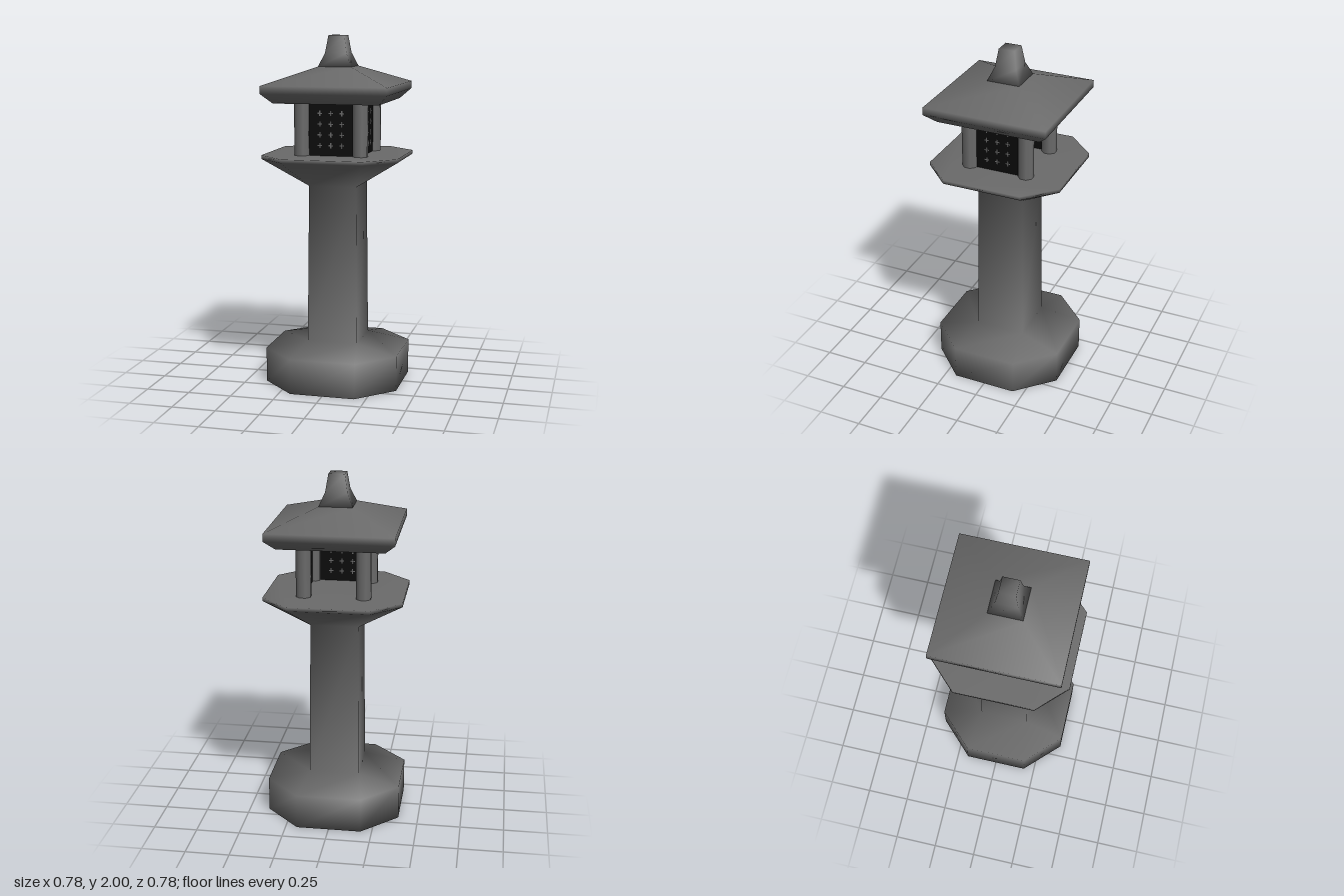
import * as THREE from 'three';
import { mergeVertices } from 'three/addons/utils/BufferGeometryUtils.js';

const stone = new THREE.MeshStandardMaterial({ color: 0x6a6a6a });
stone.name = 'grey stone';
const dark = new THREE.MeshStandardMaterial({ color: 0x0b0b0b });
dark.name = 'dark screen';

// Closed loft through chamfered squares [y, half width, chamfer start]; a missing chamfer means a plain square.
function loft(rings) {
  const pos = [], idx = [];
  for (const [y, h, c = h] of rings) {
    const ring = [[h, c], [h, -c], [c, -h], [-c, -h], [-h, -c], [-h, c], [-c, h], [c, h]];
    for (const [x, z] of ring) pos.push(x, y, z);
  }
  for (let r = 0; r < rings.length - 1; r++) {
    for (let i = 0; i < 8; i++) {
      const a = r * 8 + i, b = r * 8 + (i + 1) % 8;
      idx.push(a, b, b + 8, a, b + 8, a + 8);
    }
  }
  const top = (rings.length - 1) * 8;
  for (let i = 1; i < 7; i++) {
    idx.push(0, i + 1, i);
    idx.push(top, top + i, top + i + 1);
  }
  let g = new THREE.BufferGeometry();
  g.setAttribute('position', new THREE.Float32BufferAttribute(pos, 3));
  g.setIndex(idx);
  g = mergeVertices(g, 1e-4);
  g.computeVertexNormals();
  return g;
}

function add(parent, name, geometry, material) {
  const mesh = new THREE.Mesh(geometry, material);
  mesh.name = name;
  parent.add(mesh);
  return mesh;
}

// Dark window screen with a raised cross at each lattice joint, on both faces
function makeScreen(name) {
  const screen = new THREE.Group();
  screen.name = name;
  add(screen, 'screenPanel', new THREE.BoxGeometry(0.25, 0.3, 0.008), dark);
  const across = new THREE.BoxGeometry(0.026, 0.006, 0.011);
  const upright = new THREE.BoxGeometry(0.006, 0.03, 0.011);
  for (const x of [-0.063, 0, 0.063]) {
    for (const y of [-0.09, -0.03, 0.03, 0.09]) {
      add(screen, 'latticeJoint', across, stone).position.set(x, y, 0);
      add(screen, 'latticeJoint', upright, stone).position.set(x, y, 0);
    }
  }
  return screen;
}

export function createModel() {
  const lantern = new THREE.Group();
  lantern.name = 'stoneLantern';

  // Octagonal foot, square tapering column and flared octagonal platform
  add(lantern, 'pedestal', loft([
    [0, 0.385, 0.185], [0.2, 0.385, 0.185], [0.25, 0.146],
    [1.155, 0.137], [1.312, 0.39, 0.227], [1.333, 0.39, 0.227],
  ]), stone);

  // Light chamber: four corner posts
  const post = new THREE.CylinderGeometry(0.044, 0.044, 0.31, 8, 1);
  for (const x of [-1, 1]) {
    for (const z of [-1, 1]) {
      const p = add(lantern, 'post', post, stone);
      p.position.set(x * 0.168, 1.483, z * 0.168);
      p.rotation.y = Math.PI / 8;
    }
  }

  // Screens on the front and both sides; the back is open
  [['frontScreen', 0], ['leftScreen', 1], ['rightScreen', -1]].forEach(([name, turn]) => {
    const s = makeScreen(name);
    const a = turn * Math.PI / 2;
    s.position.set(Math.sin(a) * 0.17, 1.481, Math.cos(a) * 0.17);
    s.rotation.y = a;
    lantern.add(s);
  });

  // Square roof and finial
  add(lantern, 'roof', loft([
    [1.63, 0.298], [1.685, 0.355], [1.728, 0.355], [1.825, 0.096],
  ]), stone);
  add(lantern, 'finial', loft([
    [1.822, 0.096], [1.9, 0.062], [2, 0.046],
  ]), stone);

  return lantern;
}
